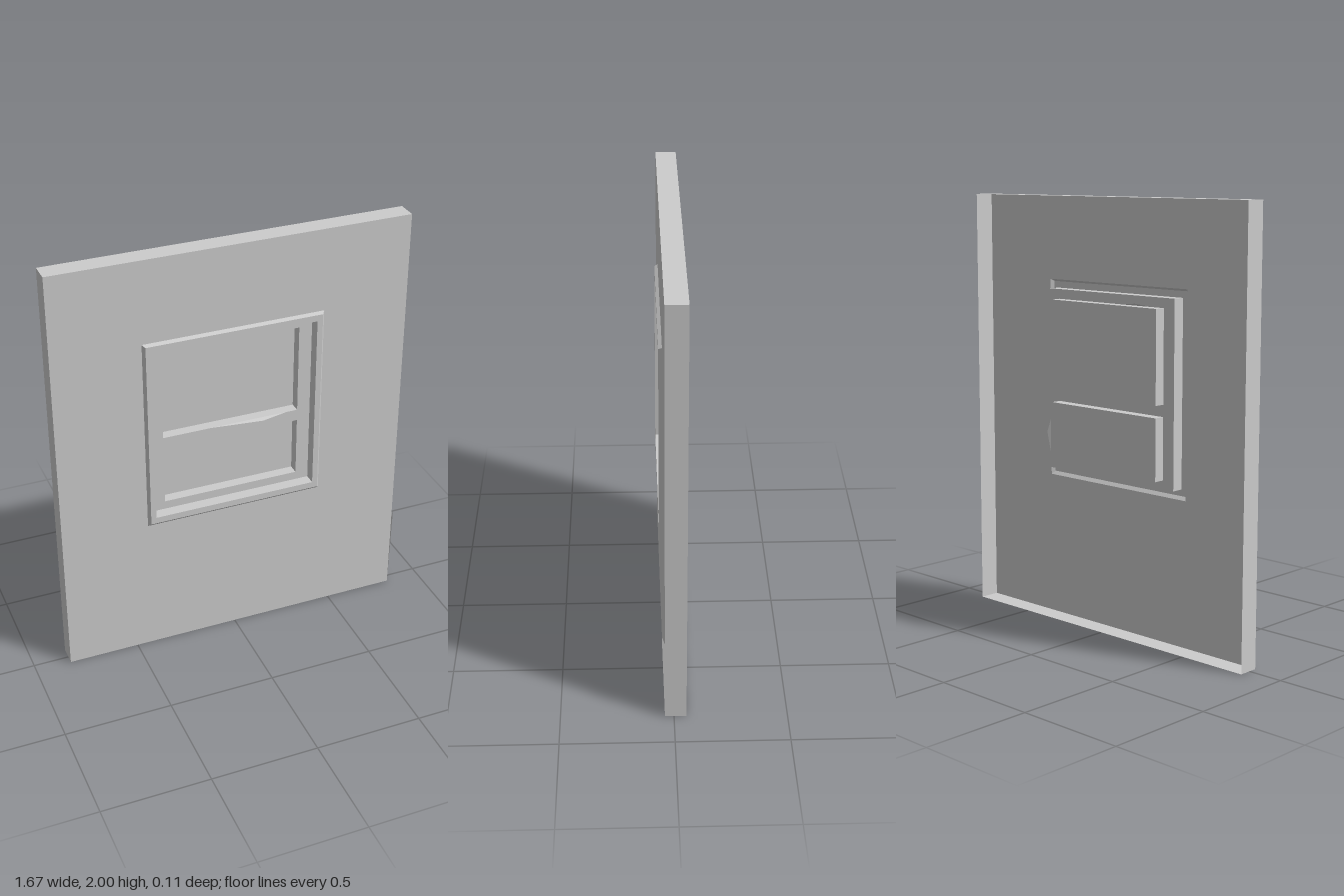
import * as THREE from 'three';

const material = new THREE.MeshStandardMaterial({
  color: 0xcccccc, flatShading: true, side: THREE.DoubleSide,
});

// Rectangles are [x0, x1, y0, y1]
const WALL = [-0.833, 0.833, 0, 2];
const RIM_OUTER = [-0.427, 0.425, 0.675, 1.61];
const RIM_FACE = [-0.415, 0.413, 0.69, 1.6];
const OPENING = [-0.39, 0.387, 0.72, 1.57];
const PANES = { upper: [-0.328, 0.325, 1.1, 1.525], lower: [-0.328, 0.325, 0.76, 1.045] };

const Z = { back: -0.055, pane: -0.05, frame: 0, wall: 0.04, rim: 0.055 };

const corners = ([x0, x1, y0, y1]) => [[x0, y0], [x1, y0], [x1, y1], [x0, y1]];

function mesh(name, geometry) {
  const m = new THREE.Mesh(geometry, material);
  m.name = name;
  return m;
}

function triangles(name, points) {
  const g = new THREE.BufferGeometry();
  g.setAttribute('position', new THREE.Float32BufferAttribute(points.flat(), 3));
  g.computeVertexNormals();
  return mesh(name, g);
}

// Flat sheet facing +z with rectangular holes
function sheet(name, rect, z, holes = []) {
  const shape = new THREE.Shape(corners(rect).map(p => new THREE.Vector2(...p)));
  for (const h of holes) {
    shape.holes.push(new THREE.Path(corners(h).reverse().map(p => new THREE.Vector2(...p))));
  }
  return mesh(name, new THREE.ShapeGeometry(shape).translate(0, 0, z));
}

// Four-sided band joining two rectangles at different depths;
// faces outward when the first is the one behind
function band(name, rectA, zA, rectB, zB) {
  const a = corners(rectA).map(p => [...p, zA]);
  const b = corners(rectB).map(p => [...p, zB]);
  const points = [];
  for (let i = 0; i < 4; i++) {
    const j = (i + 1) % 4;
    points.push(a[i], a[j], b[j], a[i], b[j], b[i]);
  }
  return triangles(name, points);
}

export function createModel() {
  const group = new THREE.Group();

  // Wall: front sheet with returns, open at the back
  const wall = new THREE.Group();
  wall.name = 'wall';
  wall.add(
    sheet('wallFront', WALL, Z.wall, [RIM_OUTER]),
    band('wallEdges', WALL, Z.back, WALL, Z.wall),
  );

  // Window surround: bevelled rim, deep reveal and sash face
  const surround = new THREE.Group();
  surround.name = 'windowSurround';
  surround.add(
    band('rimBevel', RIM_OUTER, Z.wall, RIM_FACE, Z.rim),
    sheet('rimFace', RIM_FACE, Z.rim, [OPENING]),
    band('outerReveal', OPENING, Z.rim, OPENING, Z.frame),
    sheet('sashFace', OPENING, Z.frame, Object.values(PANES)),
  );

  // Recessed panes
  const panes = new THREE.Group();
  panes.name = 'panes';
  for (const [name, rect] of Object.entries(PANES)) {
    panes.add(
      band(name + 'PaneReveal', rect, Z.frame, rect, Z.pane),
      sheet(name + 'Pane', rect, Z.pane),
    );
  }

  // Small worn slivers along the edges
  const wear = new THREE.Group();
  wear.name = 'wornEdges';
  wear.add(
    triangles('wallEdgeSliver', [[0.833, 0, 0.04], [0.833, 0.4, 0.04], [0.833, 0.44, 0.053]]),
    triangles('sillSliver', [[-0.1, 1.1, 0], [0.27, 1.1, 0], [0.15, 1.09, 0.015]]),
    triangles('headSliver', [[-0.25, 1.525, 0], [-0.17, 1.535, -0.015], [-0.05, 1.525, 0]]),
    triangles('sideSliver', [[0.387, 0.79, 0], [0.387, 0.95, 0], [0.403, 0.89, -0.008]]),
    triangles('paneSideSliver', [[-0.328, 0.85, 0], [-0.328, 0.92, 0], [-0.333, 0.885, -0.01]]),
  );

  group.add(wall, surround, panes, wear);
  return group;
}
